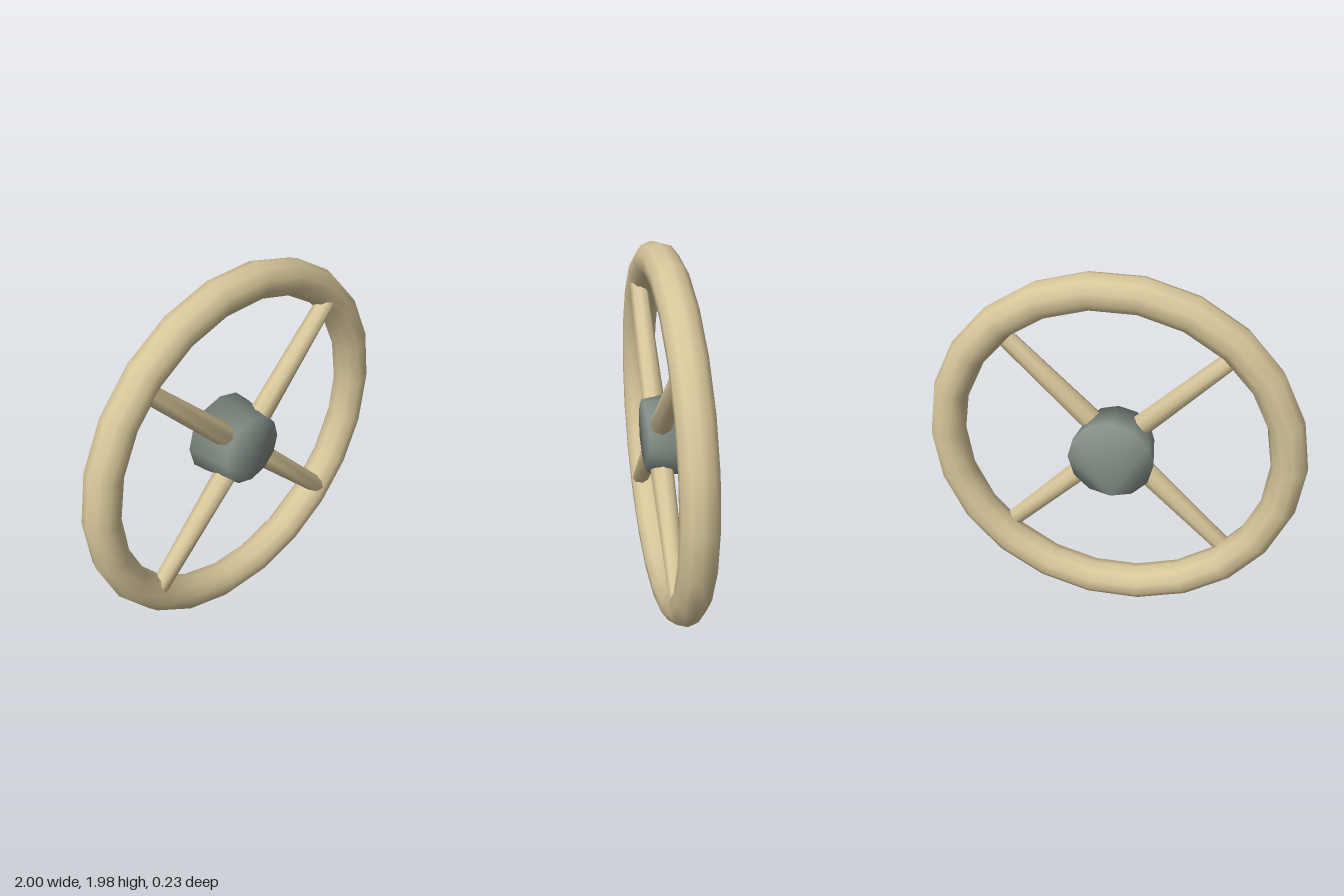
import * as THREE from 'three';
import { mergeVertices } from 'three/addons/utils/BufferGeometryUtils.js';

const CENTER_Y = 0.99;

// Capped tapered cylinder whose normals run smoothly over the rims;
// caps are fans from one rim corner.
function softCylinder(radiusTop, radiusBottom, height, sides) {
  const positions = [];
  const index = [];
  for (const [radius, y] of [[radiusTop, height / 2], [radiusBottom, -height / 2]]) {
    for (let i = 0; i < sides; i++) {
      const a = (i / sides) * Math.PI * 2;
      positions.push(Math.sin(a) * radius, y, Math.cos(a) * radius);
    }
  }
  for (let i = 0; i < sides; i++) {
    const j = (i + 1) % sides;
    index.push(i, sides + i, j, sides + i, sides + j, j);
    if (i > 0 && i < sides - 1) {
      index.push(0, i, j, sides, sides + j, sides + i);
    }
  }
  const geometry = new THREE.BufferGeometry();
  geometry.setAttribute('position', new THREE.Float32BufferAttribute(positions, 3));
  geometry.setIndex(index);
  geometry.computeVertexNormals();
  return geometry;
}

export function createModel() {
  const wood = new THREE.MeshStandardMaterial({ name: 'paleWood', color: 0xd8c69a });
  const metal = new THREE.MeshStandardMaterial({ name: 'greyMetal', color: 0x849088 });

  const wheel = new THREE.Group();
  wheel.name = 'wheel';

  const add = (name, geometry, material) => {
    const mesh = new THREE.Mesh(geometry, material);
    mesh.name = name;
    wheel.add(mesh);
    return mesh;
  };

  // Rim
  const ring = new THREE.TorusGeometry(0.905, 0.095, 10, 22);
  ring.deleteAttribute('uv');
  add('rim', mergeVertices(ring), wood);

  // Hub, wider at the back
  const hub = softCylinder(0.19, 0.225, 0.23, 12);
  hub.rotateX(Math.PI / 2);
  add('hub', hub, metal).position.z = -0.005;

  // Four tapered spokes, set towards the front of the rim
  const inner = 0.12;
  const outer = 0.88;
  const spoke = softCylinder(0.047, 0.061, outer - inner, 8);
  spoke.translate(0, (inner + outer) / 2, 0.041);
  for (let i = 0; i < 4; i++) {
    add('spoke' + (i + 1), spoke, wood).rotation.z = Math.PI / 4 + (i * Math.PI) / 2;
  }

  wheel.position.y = CENTER_Y;
  const model = new THREE.Group();
  model.name = 'spokedWheel';
  model.add(wheel);
  return model;
}
